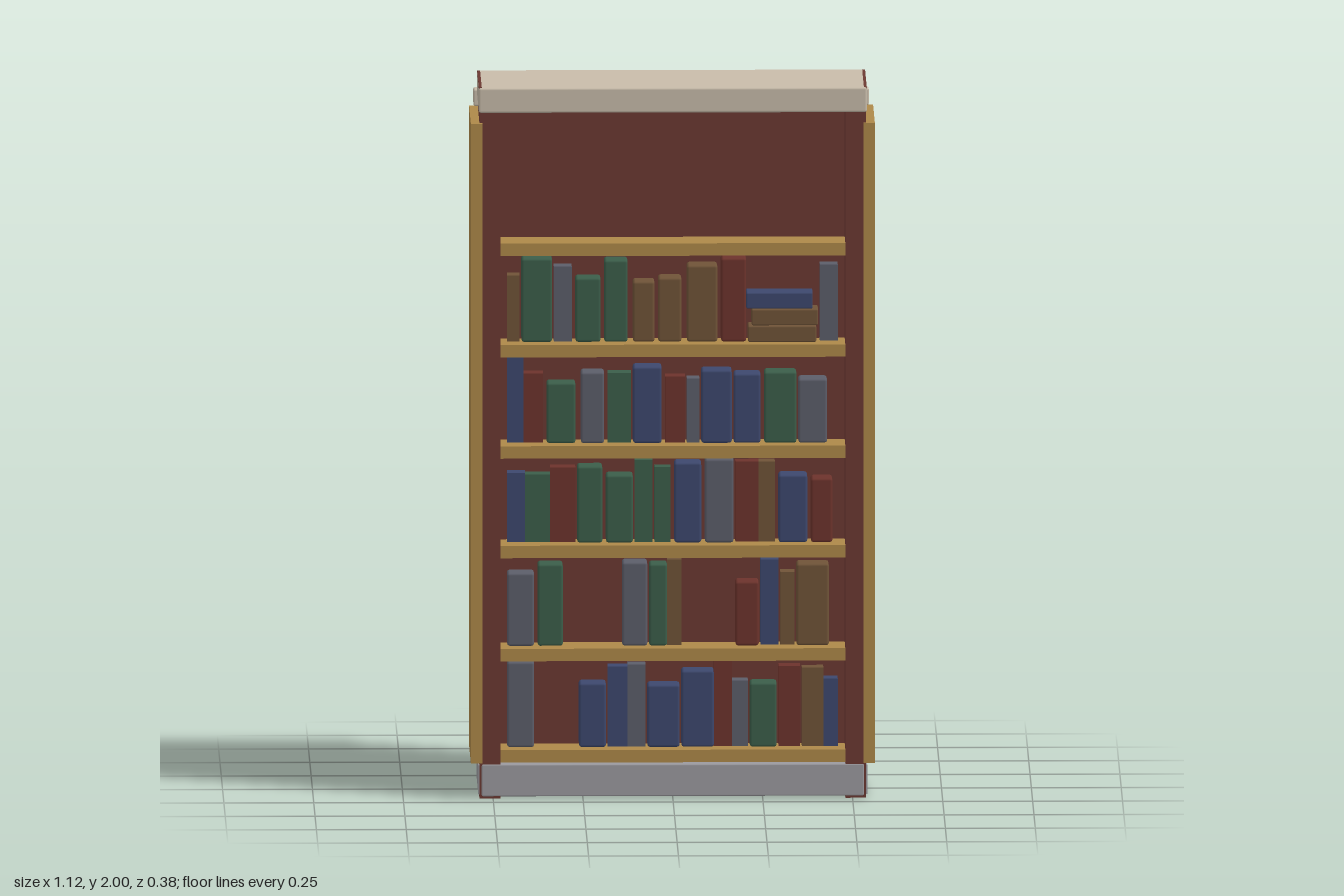
import * as THREE from 'three';
import { RoundedBoxGeometry } from 'three/addons/geometries/RoundedBoxGeometry.js';

const mat = (name, color) => {
  const m = new THREE.MeshStandardMaterial({ color });
  m.name = name;
  return m;
};

export function createModel() {
  const root = new THREE.Group();
  root.name = 'bookcase';

  const redWood = mat('red wood', 0x6c3932);
  const oak = mat('oak', 0xae8949);
  const cream = mat('cream', 0xc8bcaa);
  const plinthGrey = mat('plinth grey', 0x9b9a9f);
  const bookMats = {
    g: mat('green cover', 0x3b5e4a),
    b: mat('blue cover', 0x3d486e),
    s: mat('grey cover', 0x5c5e6a),
    n: mat('brown cover', 0x705438),
    r: mat('red cover', 0x6d332c),
  };

  // Box given by its limits on each axis; bevel > 0 softens the edges
  function box(name, material, [x0, x1], [y0, y1], [z0, z1], bevel = 0, parent = root) {
    const size = [x1 - x0, y1 - y0, z1 - z0];
    const geo = bevel
      ? new RoundedBoxGeometry(...size, 1, bevel)
      : new THREE.BoxGeometry(...size);
    const mesh = new THREE.Mesh(geo, material);
    mesh.position.set((x0 + x1) / 2, (y0 + y1) / 2, (z0 + z1) / 2);
    mesh.name = name;
    parent.add(mesh);
    return mesh;
  }

  // Carcass: uprights with outer oak panels, and the thick back
  for (const s of [-1, 1]) {
    const span = (a, b) => (s > 0 ? [a, b] : [-b, -a]);
    box('upright', redWood, span(0.48, 0.538), [0, 1.998], [-0.14, 0.178]);
    box('sidePanel', oak, span(0.53, 0.562), [0.1, 1.9], [-0.15, 0.19]);
  }
  box('backPanel', redWood, [-0.535, 0.535], [0.1, 1.9], [-0.162, 0.05]);
  box('upperBack', redWood, [-0.48, 0.48], [1.9, 1.935], [-0.13, 0.05]);

  // Cap, end strips and rear cornice
  box('cap', cream, [-0.54, 0.54], [1.93, 2], [-0.15, 0.19], 0.006);
  for (const s of [-1, 1]) {
    box('capEndStrip', redWood, [s * 0.5355 - 0.004, s * 0.5355 + 0.004], [1.994, 2.0005], [-0.142, 0.18]);
  }
  box('cornice', cream, [-0.55, 0.55], [1.9, 1.947], [-0.19, -0.14], 0.005);

  // Plinth with red bearers below
  box('plinth', plinthGrey, [-0.532, 0.532], [0.006, 0.096], [-0.136, 0.181], 0.004);
  box('plinthEnds', plinthGrey, [-0.541, 0.541], [0.01, 0.092], [-0.132, 0.172]);
  for (const z of [-0.11, 0.12]) {
    box('bearer', redWood, [-0.5, 0.5], [0.001, 0.008], [z - 0.012, z + 0.012]);
  }

  // Battens on the back
  for (let i = -2; i <= 2; i++) {
    box('backBatten', oak, [i * 0.19 - 0.014, i * 0.19 + 0.014], [0.18, 1.825], [-0.184, -0.158]);
  }

  // Shelves
  const shelfTops = [1.56, 1.275, 0.99, 0.71, 0.42, 0.135];
  for (const y of shelfTops) {
    box('shelf', oak, [-0.48, 0.48], [y - 0.035, y], [0.04, 0.172]);
  }

  // Books: cover key (capital = rounded and set forward), left, right, height in hundredths
  function row(y, books) {
    const group = new THREE.Group();
    group.name = 'bookRow';
    root.add(group);
    for (const [key, x0, x1, h] of books) {
      const k = key.toLowerCase();
      const forward = key !== k;
      box('book', bookMats[k], [x0 / 100, x1 / 100], [y, y + h / 100],
        [0.045, forward ? 0.122 : 0.105], forward ? 0.007 : 0, group);
    }
    return group;
  }

  const topRow = row(1.275, [
    ['n', -46, -42.5, 18.5], ['G', -42, -33.5, 23.5], ['s', -33, -28, 21], ['G', -27, -20, 18],
    ['G', -19, -12.5, 23], ['N', -11, -5, 17], ['N', -4, 2.5, 18], ['N', 4, 12.5, 21.5],
    ['R', 13.5, 20.5, 23.5], ['s', 41, 46, 21.5]]);
  row(0.99, [
    ['b', -46, -41.5, 24], ['r', -41.5, -36, 19.5], ['G', -35, -27, 17], ['S', -25.5, -19, 20],
    ['g', -18, -11.5, 19.5], ['B', -11, -3, 21.5], ['r', -2, 3.5, 18.5], ['s', 4, 7.5, 18],
    ['B', 8, 16.5, 20.5], ['B', 17, 24.5, 19.5], ['G', 25.5, 34.5, 20], ['S', 35, 43, 18]]);
  row(0.71, [
    ['b', -46, -41, 19.5], ['g', -41, -34, 19], ['r', -34, -27, 21], ['G', -26.5, -19.5, 21.5],
    ['G', -18.5, -11, 19], ['g', -10.5, -5.5, 23], ['g', -5, -0.5, 21], ['B', 0.5, 8, 22.5],
    ['S', 9, 17, 23.5], ['r', 17.5, 24, 22.5], ['n', 24, 28.5, 22.5], ['B', 29.5, 37.5, 19],
    ['R', 38.5, 44.5, 18]]);
  row(0.42, [
    ['S', -46, -38.5, 20.5], ['G', -37.5, -30.5, 23], ['S', -14, -7, 23.5], ['G', -6.5, -1.5, 23],
    ['n', -1.5, 2.5, 24], ['R', 17.5, 24, 18], ['b', 24.5, 29.5, 24], ['n', 30, 34, 20.5],
    ['N', 34.5, 43.5, 23]]);
  row(0.135, [
    ['S', -46, -38.5, 24], ['B', -26, -18.5, 18], ['b', -18, -12.5, 22.5], ['s', -12.5, -7.5, 23],
    ['B', -7, 2, 17.5], ['B', 2.5, 11.5, 21.5], ['r', 11.5, 16.5, 24], ['s', 16.5, 21, 18.5],
    ['G', 21.5, 29, 18], ['r', 29.5, 35.5, 22.5], ['n', 36, 42, 22], ['b', 42, 46, 19]]);

  // Books lying flat on the top row
  [['n', 0.21, 0.40], ['n', 0.22, 0.405], ['b', 0.205, 0.39]].forEach(([k, x0, x1], i) => {
    const y = 1.275 + i * 0.047;
    box('stackedBook', bookMats[k], [x0, x1], [y, y + 0.045], [0.045, 0.13], 0.004, topRow);
  });

  return root;
}
